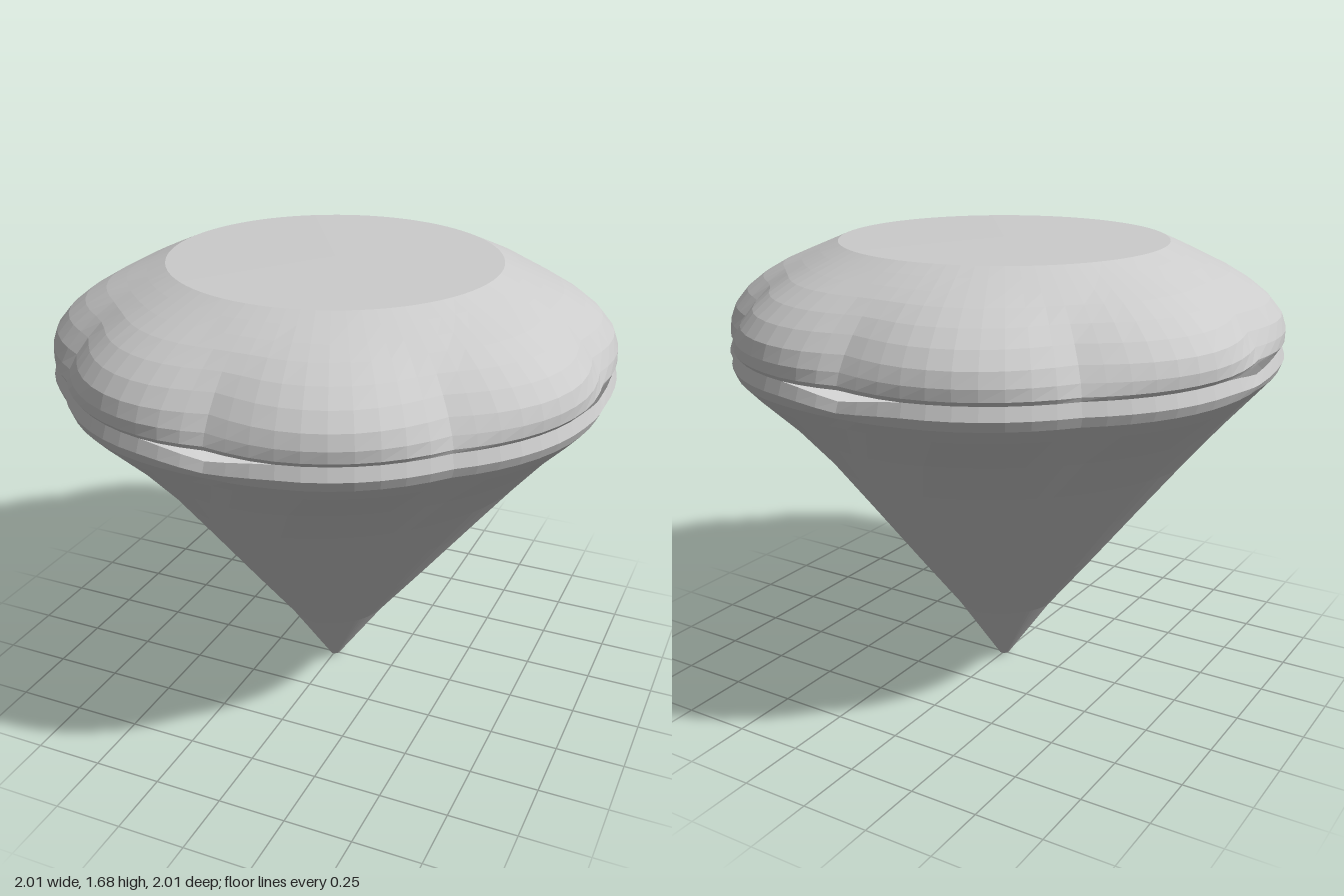
import * as THREE from 'three';

const SEGMENTS = 80;

// Builds a closed skin from rings; point(ring, angle) returns [radius, y].
function ringSurface(ringCount, point) {
  const positions = [], index = [];
  for (let i = 0; i < ringCount; i++) {
    for (let j = 0; j < SEGMENTS; j++) {
      const a = (j / SEGMENTS) * Math.PI * 2;
      const [r, y] = point(i, a);
      positions.push(r * Math.sin(a), y, r * Math.cos(a));
    }
  }
  for (let i = 0; i < ringCount - 1; i++) {
    for (let j = 0; j < SEGMENTS; j++) {
      const k = (j + 1) % SEGMENTS;
      const a = i * SEGMENTS + j, b = i * SEGMENTS + k;
      const c = a + SEGMENTS, d = b + SEGMENTS;
      index.push(a, b, d, a, d, c);
    }
  }
  const geometry = new THREE.BufferGeometry();
  geometry.setAttribute('position', new THREE.Float32BufferAttribute(positions, 3));
  geometry.setIndex(index);
  geometry.computeVertexNormals();
  return geometry;
}

// Eight lobes with sharp grooves between them, four broad pavilion panels.
const lobe = (a) => Math.abs(Math.sin(4 * a));
const panel = (a) => Math.abs(Math.sin(2 * a));
// Shallow opening in the girdle on each of the four axes.
const opening = (a) => Math.max(0, 1 - panel(a) / 0.4);
const girdle = (a) => 1 + 0.028 * lobe(a) - 0.008 * panel(a);

export function createModel() {
  const group = new THREE.Group();
  const material = new THREE.MeshStandardMaterial({
    color: 0xcccccc, flatShading: true, side: THREE.DoubleSide,
  });
  const add = (name, geometry) => {
    const mesh = new THREE.Mesh(geometry, material);
    mesh.name = name;
    group.add(mesh);
  };

  // Pavilion: blunt tip, gently creased cone, rounded girdle
  const lower = [
    [0, 0], [0.02, 0.003], [0.2, 0.26], [0.38, 0.485], [0.565, 0.72],
    [0.72, 0.915], [0.85, 1.075], [0.95, 1.2], [0.988, 1.25], [1, 1.285], [0.985, 1.33],
  ];
  add('pavilion', ringSurface(lower.length, (i, a) => {
    const [r, y] = lower[i];
    const blend = THREE.MathUtils.smoothstep(y, 0.95, 1.29);
    const shape = THREE.MathUtils.lerp(1 - 0.055 * panel(a), girdle(a), blend);
    const dip = 0.03 * opening(a) * THREE.MathUtils.smoothstep(y, 1.22, 1.33);
    return [r * shape, y - dip];
  }));

  // Crown: arched lobes that fade out into the star facets below the table
  const upper = [
    [0.985, 1.33], [0.99, 1.345], [0.975, 1.385], [0.945, 1.435], [0.9, 1.49],
    [0.85, 1.54], [0.79, 1.585], [0.73, 1.617], [0.665, 1.648], [0.6, 1.677],
  ];
  add('crown', ringSurface(upper.length, (i, a) => {
    const [r, y] = upper[i];
    const t = (y - 1.33) / 0.347;
    const arch = Math.max(0, lobe(a) - t * t * t);
    const bulge = 0.028 * lobe(a) * (1 - t) + 0.06 * arch * Math.sin(Math.PI * Math.min(t, 1));
    const corner = 0.008 * panel(a) * (1 - t);
    return [r * (1 + bulge - corner), y + 0.006 * opening(a) * (1 - t)];
  }));

  // Table: flat top
  add('table', ringSurface(2, (i) => (i === 0 ? [0.6, 1.677] : [0, 1.68])));

  return group;
}
